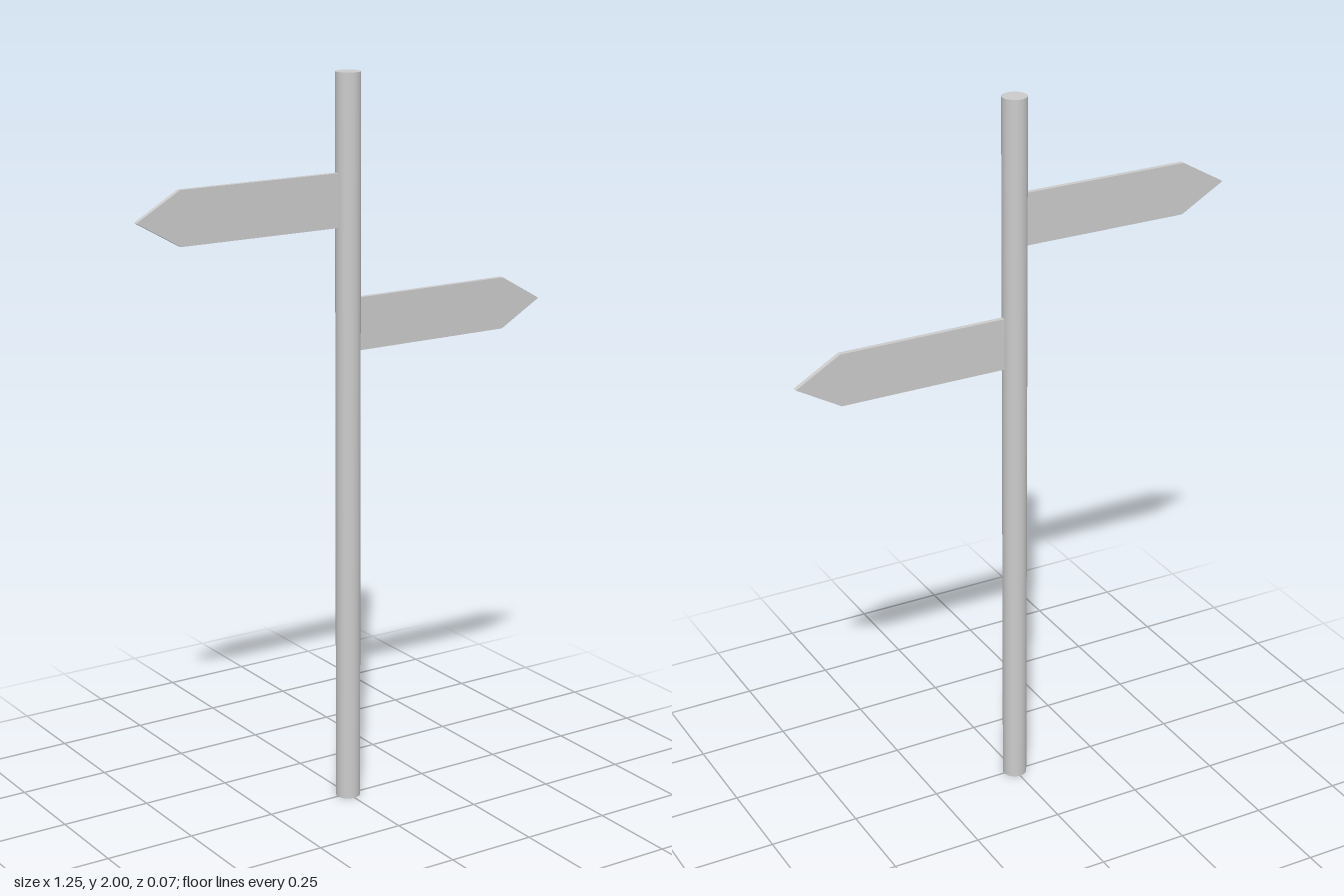
import * as THREE from 'three';

const material = new THREE.MeshStandardMaterial({ color: 0xcccccc });

const POLE_RADIUS = 0.0335;
const BOARD_DEPTH = 0.0135;
const BOARD_HALF_HEIGHT = 0.0715;

// Flat board with a pointed end; side is +1 (left) or -1 (right)
function createBoard(name, side, y) {
  const h = BOARD_HALF_HEIGHT;
  const outline = [[0.03, -h], [0.5, -h], [0.624, 0], [0.5, h], [0.03, h]];
  const shape = new THREE.Shape(outline.map(([x, v]) => new THREE.Vector2(x, v)));
  const geometry = new THREE.ExtrudeGeometry(shape, { depth: BOARD_DEPTH, bevelEnabled: false });
  geometry.translate(0, 0, -BOARD_DEPTH / 2);
  const board = new THREE.Mesh(geometry, material);
  board.name = name;
  board.position.y = y;
  if (side < 0) board.rotation.y = Math.PI;
  return board;
}

export function createModel() {
  const model = new THREE.Group();
  model.name = 'signpost';

  // Upright round pole
  const pole = new THREE.Mesh(new THREE.CylinderGeometry(POLE_RADIUS, POLE_RADIUS, 2, 32), material);
  pole.name = 'pole';
  pole.position.y = 1;
  model.add(pole);

  // Direction boards pointing opposite ways
  model.add(createBoard('upperBoard', -1, 1.67));
  model.add(createBoard('lowerBoard', 1, 1.336));

  return model;
}
